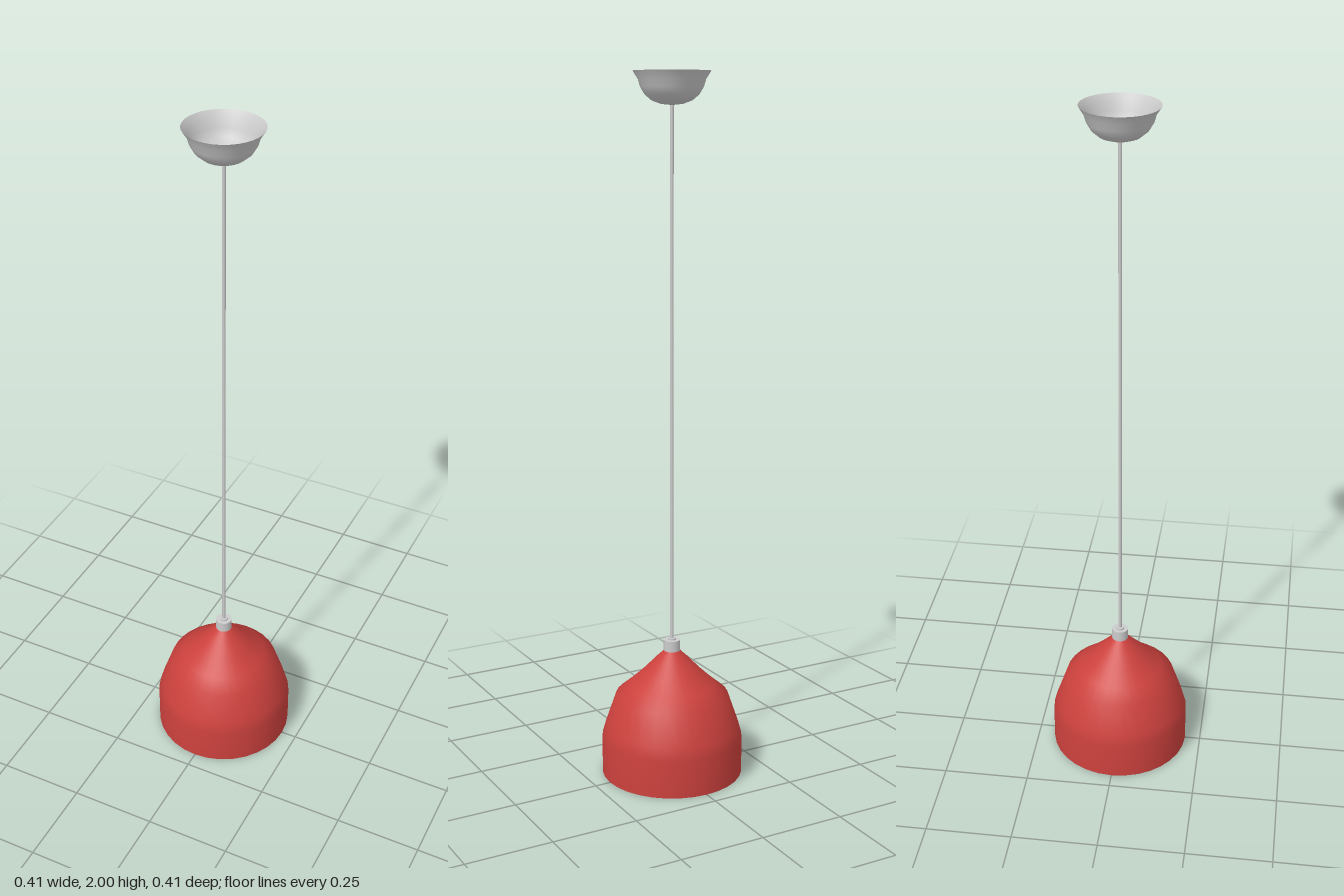
import * as THREE from 'three';

const SIDES = 32;

function add(group, name, geometry, color = 0xcccccc, side = THREE.FrontSide) {
  const mesh = new THREE.Mesh(geometry, new THREE.MeshStandardMaterial({ color, side }));
  mesh.name = name;
  group.add(mesh);
  return mesh;
}

// Profiles listed bottom to top face outward; reversed ones face inward
function lathe(points, inward = false) {
  const profile = points.map(([r, y]) => new THREE.Vector2(r, y));
  return new THREE.LatheGeometry(inward ? profile.reverse() : profile, SIDES);
}

function rod(radius, bottom, top, sides) {
  return new THREE.CylinderGeometry(radius, radius, top - bottom, sides).translate(0, (bottom + top) / 2, 0);
}

export function createModel() {
  const model = new THREE.Group();
  model.name = 'pendantLamp';

  // Bell-shaped shade: red outside, grey lining, thin rim between
  const bell = [
    [0.204, 0], [0.204, 0.11], [0.194, 0.145], [0.163, 0.235],
    [0.125, 0.267], [0.085, 0.304], [0.045, 0.346], [0.018, 0.372],
  ];
  const lining = bell.map(([r, y], i) => [r - 0.004, i ? y - 0.003 : y]);
  lining.push([0, 0.369]);
  add(model, 'shade', lathe(bell), 0xcc413d);
  add(model, 'shadeLining', lathe(lining, true));
  add(model, 'shadeRim', lathe([[0.2, 0], [0.204, 0]]), 0xcc413d, THREE.DoubleSide);

  // Cable grip on top of the shade
  add(model, 'collar', rod(0.024, 0.368, 0.4, 24));
  add(model, 'cableGland', rod(0.012, 0.398, 0.405, 16));

  // Long cord
  add(model, 'cord', rod(0.005, 0.4, 1.915, 10));

  // Ceiling cup, open at the top with a slightly flared lip
  const cup = [
    [0, 1.91], [0.03, 1.913], [0.055, 1.922], [0.074, 1.938],
    [0.086, 1.958], [0.092, 1.978], [0.106, 2],
  ];
  add(model, 'ceilingCup', lathe(cup));
  add(model, 'ceilingCupInside', lathe(cup.map(([r, y], i) =>
    i === cup.length - 1 ? [r, y] : [Math.max(0, r - 0.002), y + 0.002]), true));

  return model;
}
